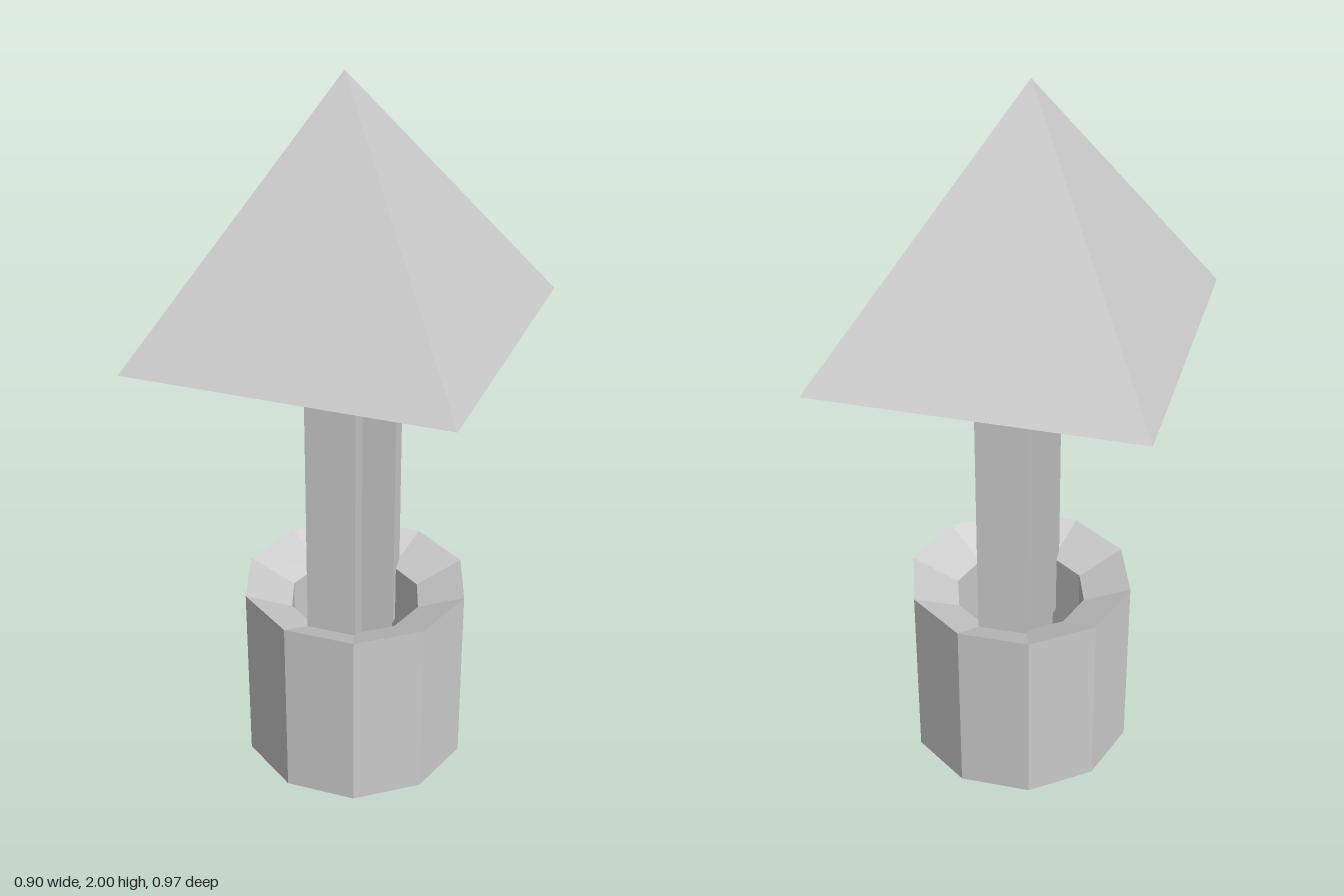
import * as THREE from 'three';

const grey = new THREE.MeshStandardMaterial({ color: 0xcccccc, flatShading: true, side: THREE.DoubleSide });

function add(parent, name, geometry, x = 0, y = 0, z = 0) {
  const mesh = new THREE.Mesh(geometry, grey);
  mesh.name = name;
  mesh.position.set(x, y, z);
  parent.add(mesh);
  return mesh;
}

// Faceted solid from a profile of [radius, height] pairs
function faceted(profile, sides, start) {
  return new THREE.LatheGeometry(profile.map(([r, y]) => new THREE.Vector2(r, y)), sides, start);
}

// Coil running back along z
class Coil extends THREE.Curve {
  constructor(radius, turns, startAngle, z0, z1) {
    super();
    Object.assign(this, { radius, turns, startAngle, z0, z1 });
  }
  getPoint(t, target = new THREE.Vector3()) {
    const a = this.startAngle + t * this.turns * Math.PI * 2;
    return target.set(Math.cos(a) * this.radius, Math.sin(a) * this.radius, this.z0 + (this.z1 - this.z0) * t);
  }
}

export function createModel() {
  const model = new THREE.Group();
  model.name = 'well';

  // Ten-sided basin with a rim sloping into the shaft
  add(model, 'basin', faceted(
    [[0, 0], [0.325, 0], [0.325, 0.54], [0.19, 0.48], [0.19, 0.08], [0, 0.08]], 10, Math.PI / 2), 0.012, 0, -0.002);

  // Two posts and the crossbar between them
  const posts = [['frontPost', 0.177], ['backPost', -0.181]];
  for (const [name, z] of posts) {
    add(model, name, new THREE.BoxGeometry(0.14, 1.2, 0.058), 0.012, 0.9, z);
  }
  add(model, 'crossbar', new THREE.BoxGeometry(0.055, 0.055, 0.33), 0.012, 1.232, 0);

  // Rope wound round the crossbar, with closed ends
  const rope = new THREE.Group();
  rope.name = 'rope';
  rope.position.set(0.003, 1.192, 0);
  model.add(rope);
  const coil = new Coil(0.107, 2.9, 0.42, 0.034, -0.072);
  add(rope, 'ropeCoil', new THREE.TubeGeometry(coil, 30, 0.023, 6));
  for (const t of [0, 1]) {
    const p = coil.getPointAt(t);
    const cap = add(rope, 'ropeEnd', new THREE.CircleGeometry(0.022, 6), p.x, p.y, p.z);
    cap.quaternion.setFromUnitVectors(new THREE.Vector3(0, 0, 1), coil.getTangentAt(t));
  }

  // Pyramid roof with a stepped recess underneath; profile in half widths
  const roofProfile = [[0, 1.5], [0.22, 1.5], [0.22, 1.37], [0.39, 1.37], [0.39, 1.32], [0.435, 1.32], [0, 2]];
  const roofGeometry = faceted(roofProfile.map(([h, y]) => [h * Math.SQRT2, y]), 4, Math.PI / 4);
  roofGeometry.scale(1, 1, 0.475 / 0.435);
  const pos = roofGeometry.attributes.position;
  for (let i = 0; i < pos.count; i++) {
    if (pos.getY(i) > 1.9) pos.setXYZ(i, -0.015, 2, 0.005); // apex sits slightly off centre
  }
  add(model, 'roof', roofGeometry).rotation.y = -0.028;

  return model;
}
